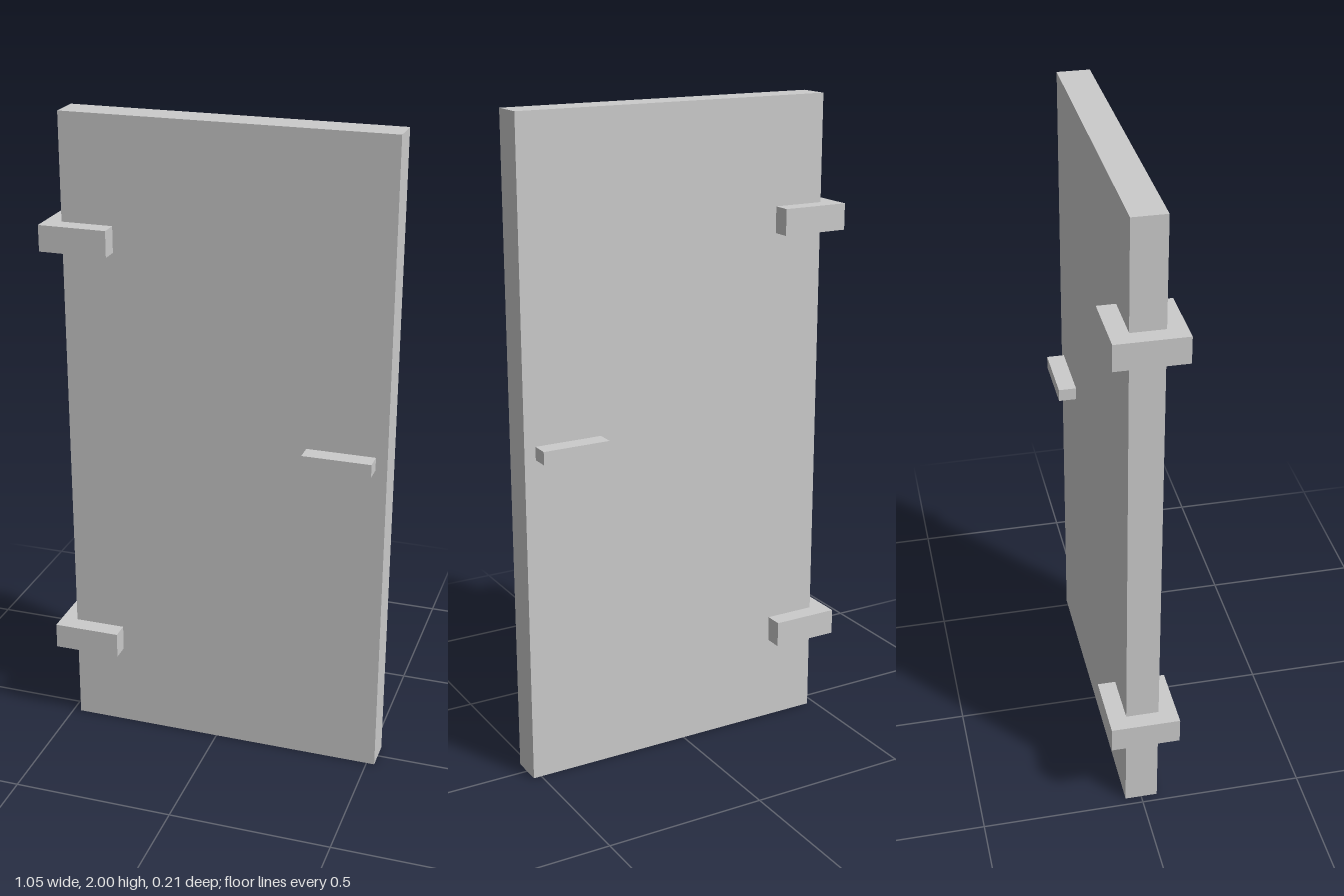
import * as THREE from 'three';

export function createModel() {
  const door = new THREE.Group();
  door.name = 'door';
  const material = new THREE.MeshStandardMaterial({ color: 0xcccccc, flatShading: true });

  const addBox = (name, [w, h, d], [x, y, z]) => {
    const mesh = new THREE.Mesh(new THREE.BoxGeometry(w, h, d), material);
    mesh.name = name;
    mesh.position.set(x, y, z);
    door.add(mesh);
  };

  // Door leaf
  addBox('doorPanel', [1, 2, 0.1], [0.025, 1, 0]);

  // Hinge blocks wrapping the right edge
  addBox('upperHinge', [0.21, 0.08, 0.21], [-0.421, 1.635, 0]);
  addBox('lowerHinge', [0.21, 0.08, 0.21], [-0.421, 0.307, 0]);

  // Handle bar passing through to both faces
  addBox('handle', [0.21, 0.04, 0.21], [0.385, 1.033, 0]);

  return door;
}
